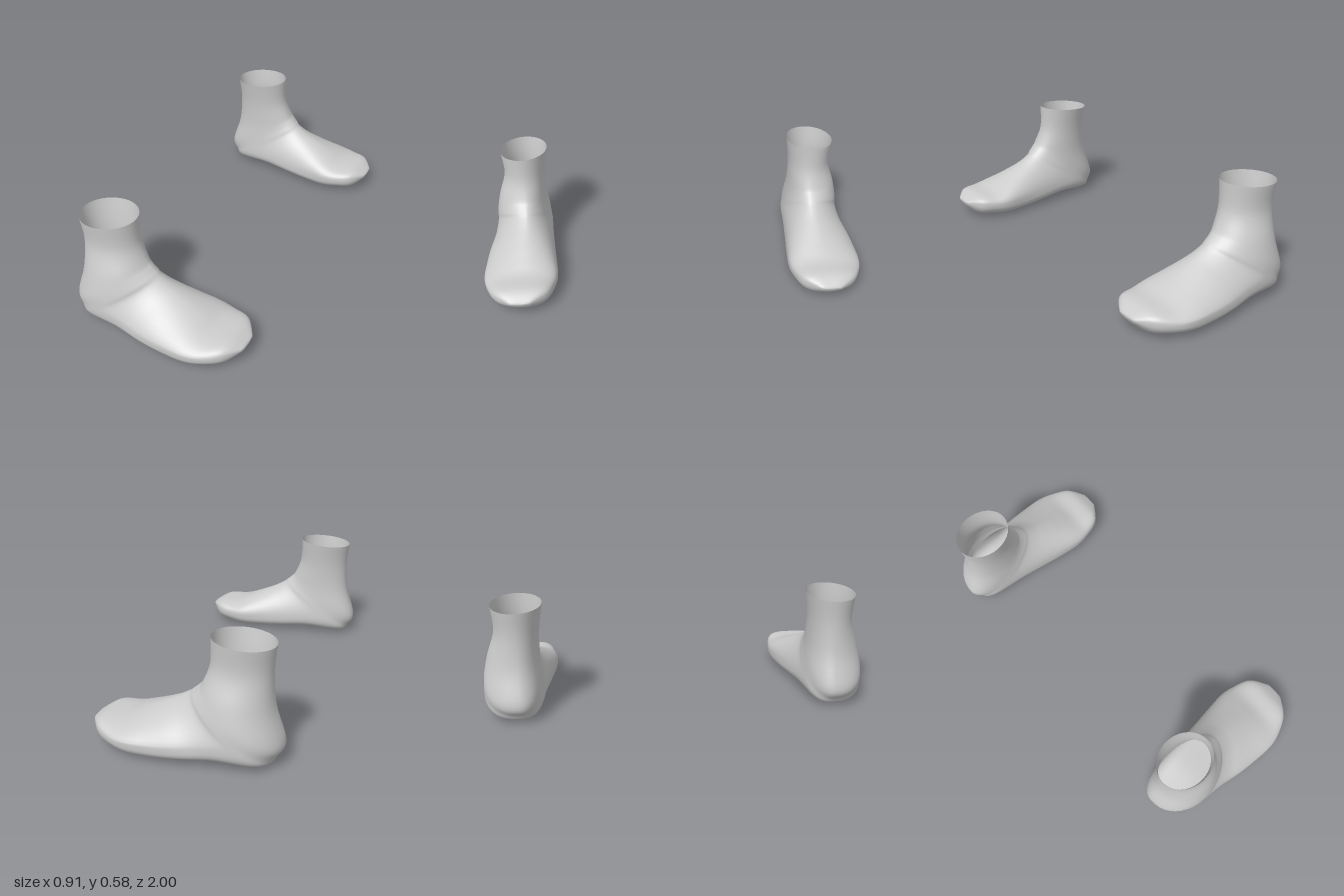
import * as THREE from 'three';

// Cross-sections from the ankle opening, fanning round the heel, to the toes:
// [topX, topY, bottomX, bottomY, zInner, zOuter, height of widest part 0..1]
const SECTIONS = [
  [-0.12, 0.58, -0.41, 0.56, 0.66, 0.908, 0.5],
  [-0.115, 0.45, -0.398, 0.43, 0.68, 0.9, 0.5],
  [-0.08, 0.355, -0.41, 0.27, 0.685, 0.94, 0.5],
  [-0.055, 0.325, -0.456, 0.11, 0.68, 0.962, 0.5],
  [-0.03, 0.303, -0.43, 0.05, 0.675, 0.968, 0.47],
  [-0.01, 0.286, -0.385, 0.015, 0.67, 0.97, 0.43],
  [0.04, 0.256, -0.2, 0.025, 0.658, 0.975, 0.38],
  [0.09, 0.232, -0.04, 0.016, 0.643, 0.993, 0.38],
  [0.15, 0.205, 0.09, 0.008, 0.628, 1, 0.42],
  [0.22, 0.173, 0.22, 0.001, 0.617, 1, 0.5],
  [0.295, 0.142, 0.31, 0.006, 0.628, 0.98, 0.58],
  [0.39, 0.134, 0.39, 0.017, 0.66, 0.93, 0.6],
  [0.455, 0.1, 0.446, 0.07, 0.745, 0.845, 0.6],
];
const LAST = SECTIONS.length - 1;
const SEGMENTS = 40;
const STEPS = 5;
const Z_TOP = 0.785;

// Smooth blend of neighbouring sections
function sectionAt(t) {
  const i = Math.min(Math.floor(t), LAST - 1);
  const f = t - i;
  const row = (k) => SECTIONS[THREE.MathUtils.clamp(k, 0, LAST)];
  const [a, b, c, d] = [row(i - 1), row(i), row(i + 1), row(i + 2)];
  return b.map((v, k) => v + 0.5 * f * (c[k] - a[k]
    + f * (2 * a[k] - 5 * v + 4 * c[k] - d[k] + f * (3 * (v - c[k]) + d[k] - a[k]))));
}

// One point on a section: angle 0 is the instep, then outer side, sole, inner side
function ringPoint(section, along, angle) {
  const [tx, ty, bx, by, zIn, zOut, widest] = section;
  const cos = Math.cos(angle), sin = Math.sin(angle);
  const outer = sin >= 0, upper = cos >= 0;
  // Flat sole, hollow outer instep, blunt toes
  const middle = Math.sin(Math.PI * Math.pow(along, 1.5)) ** 2;
  const toes = THREE.MathUtils.smoothstep(along, 0.75, 0.95);
  const topPower = 1 + (outer ? 0.3 : 0) * middle - 0.4 * toes;
  const power = upper ? topPower : 1 - 0.4 * middle;
  const up = Math.pow(Math.abs(cos), power), across = Math.pow(Math.abs(sin), power);
  const h = upper ? widest + (1 - widest) * up : widest * (1 - up);
  const z = Z_TOP + ((outer ? zOut : zIn) - Z_TOP) * across;
  return [bx + (tx - bx) * h, by + (ty - by) * h, z];
}

function footGeometry(side) {
  const rings = LAST * STEPS;
  const positions = [], index = [];
  const tri = (a, b, c) => (side > 0 ? index.push(a, b, c) : index.push(a, c, b));
  for (let i = 0; i <= rings; i++) {
    const section = sectionAt(i / STEPS);
    for (let j = 0; j < SEGMENTS; j++) {
      const [x, y, z] = ringPoint(section, i / rings, (j / SEGMENTS) * Math.PI * 2);
      positions.push(x, y, z * side);
    }
  }
  for (let i = 0; i < rings; i++) {
    for (let j = 0; j < SEGMENTS; j++) {
      const a = i * SEGMENTS + j, b = i * SEGMENTS + (j + 1) % SEGMENTS;
      tri(a, b, a + SEGMENTS);
      tri(b, b + SEGMENTS, a + SEGMENTS);
    }
  }
  // Close the toe tip
  const end = rings * SEGMENTS, tip = end + SEGMENTS;
  positions.push(0.455, 0.088, 0.79 * side);
  for (let j = 0; j < SEGMENTS; j++) tri(end + j, end + (j + 1) % SEGMENTS, tip);

  const geometry = new THREE.BufferGeometry();
  geometry.setAttribute('position', new THREE.Float32BufferAttribute(positions, 3));
  geometry.setIndex(index);
  geometry.computeVertexNormals();
  return geometry;
}

export function createModel() {
  const group = new THREE.Group();
  group.name = 'feet';
  const material = new THREE.MeshStandardMaterial({ color: 0xcccccc, side: THREE.DoubleSide });
  // Mirrored pair, toes along +x, open at the ankles
  for (const [name, side] of [['frontFoot', 1], ['backFoot', -1]]) {
    const foot = new THREE.Mesh(footGeometry(side), material);
    foot.name = name;
    group.add(foot);
  }
  return group;
}
